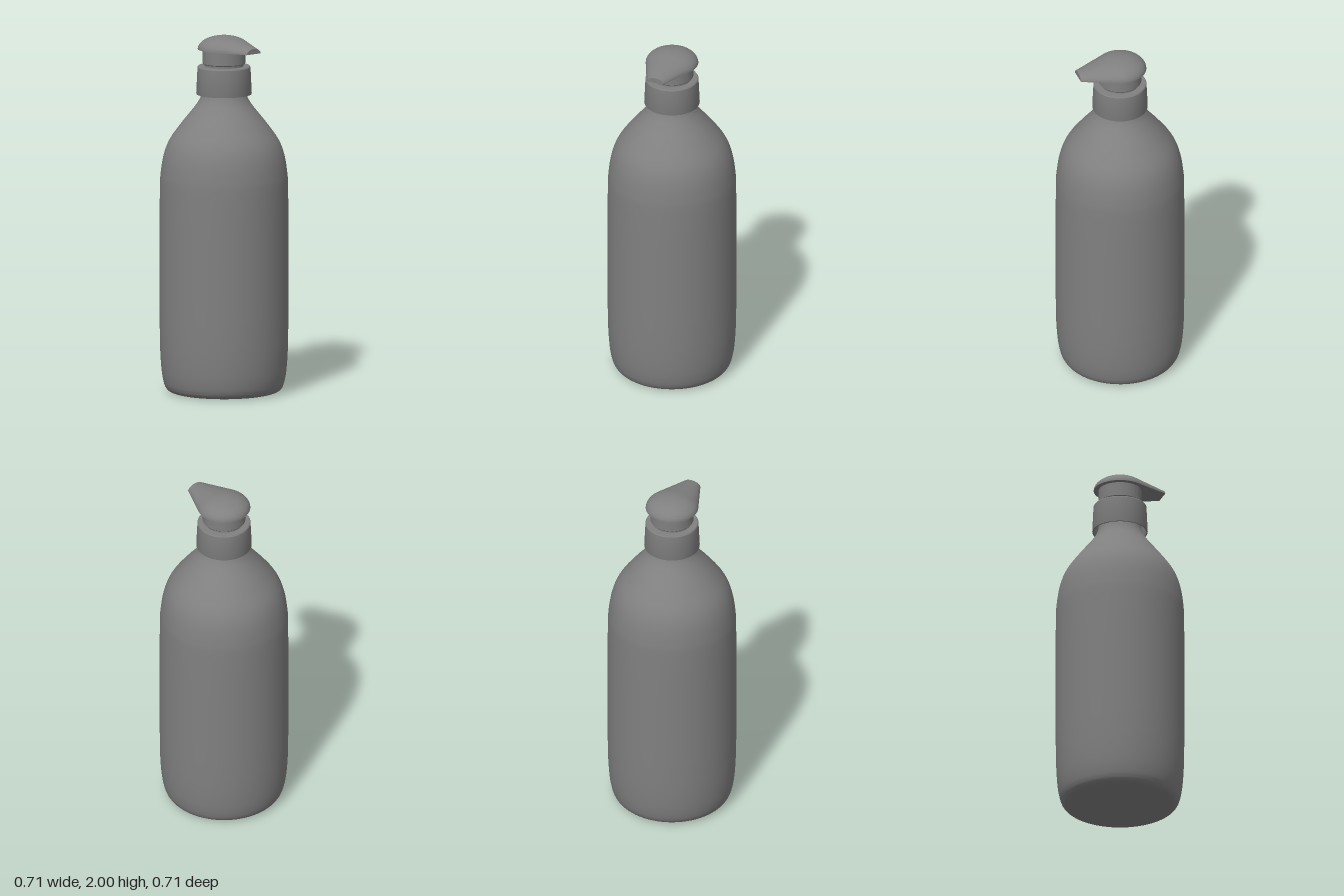
import * as THREE from 'three';
import { toCreasedNormals } from 'three/addons/utils/BufferGeometryUtils.js';

const material = new THREE.MeshStandardMaterial({ color: 0x808080 });

function part(name, geometry) {
  const mesh = new THREE.Mesh(geometry, material);
  mesh.name = name;
  return mesh;
}

// Turned part from [radius, height] pairs, listed from bottom to top on the outside
function turned(name, points, crease = 0.5) {
  const profile = points.map(([r, y]) => new THREE.Vector2(r, y));
  return part(name, toCreasedNormals(new THREE.LatheGeometry(profile, 72), crease));
}

// Smooth bottle wall rounding into a flat base
function bottle() {
  const wall = new THREE.SplineCurve([
    [0.265, 0], [0.295, 0.004], [0.319, 0.019], [0.336, 0.06], [0.349, 0.15], [0.356, 0.32],
    [0.357, 0.7], [0.356, 1.12], [0.35, 1.24], [0.332, 1.34], [0.299, 1.42], [0.235, 1.51],
    [0.171, 1.59], [0.137, 1.64], [0.121, 1.685], [0.118, 1.73],
  ].map(([r, y]) => new THREE.Vector2(r, y)));
  const points = wall.getPoints(75).map((p) => [p.x, Math.max(p.y, 0)]);
  return turned('bottle', [[0, 0], ...points], 0.9);
}

// Domed pump head: half-ellipse sections along x, tapering into a spout
function pumpHead() {
  const r = 0.146, height = 0.076, tangentX = 0.057, tipX = 0.248, arc = 40;
  const stations = [];
  const startAngle = Math.acos(-tangentX / r);
  for (let i = 0; i <= 24; i++) {
    const a = (startAngle * i) / 24;
    const s = Math.max(Math.sin(a), 0.001);
    stations.push([-r * Math.cos(a), r * s, height * s]);
  }
  const [, w0, h0] = stations[stations.length - 1];
  for (let i = 1; i <= 8; i++) {
    const t = i / 8;
    stations.push([
      THREE.MathUtils.lerp(tangentX, tipX, t),
      THREE.MathUtils.lerp(w0, 0.051, t),
      THREE.MathUtils.lerp(h0, 0.03, t),
    ]);
  }

  const positions = [], index = [], n = arc + 1;
  for (const [x, w, h] of stations) {
    for (let j = 0; j <= arc; j++) {
      const a = (Math.PI * j) / arc;
      positions.push(x, h * Math.sin(a), w * Math.cos(a));
    }
  }
  // Skin, including the flat underside
  for (let i = 0; i < stations.length - 1; i++) {
    for (let j = 0; j < n; j++) {
      const k = (j + 1) % n;
      const a = i * n + j, b = a + n, c = i * n + k, d = c + n;
      index.push(a, b, c, b, d, c);
    }
  }
  // Spout end
  const last = (stations.length - 1) * n;
  for (let j = 1; j < arc; j++) index.push(last, last + j + 1, last + j);

  const geometry = new THREE.BufferGeometry();
  geometry.setAttribute('position', new THREE.Float32BufferAttribute(positions, 3));
  geometry.setIndex(index);
  const head = part('pumpHead', toCreasedNormals(geometry, 0.7));
  head.position.y = 1.924;
  head.rotation.y = -0.045;
  return head;
}

export function createModel() {
  const model = new THREE.Group();
  model.name = 'pumpBottle';
  model.add(
    bottle(),
    // Hollow screw collar, open underneath
    turned('collar', [
      [0, 1.805], [0.137, 1.805], [0.146, 1.672], [0.153, 1.672], [0.154, 1.676],
      [0.147, 1.823], [0.143, 1.829], [0, 1.829],
    ]),
    // Narrow stem and the wider sleeve under the head
    turned('stem', [[0.108, 1.82], [0.108, 1.86]]),
    turned('sleeve', [
      [0, 1.841], [0.115, 1.841], [0.119, 1.846], [0.119, 1.928], [0, 1.928],
    ]),
    pumpHead(),
  );
  return model;
}
